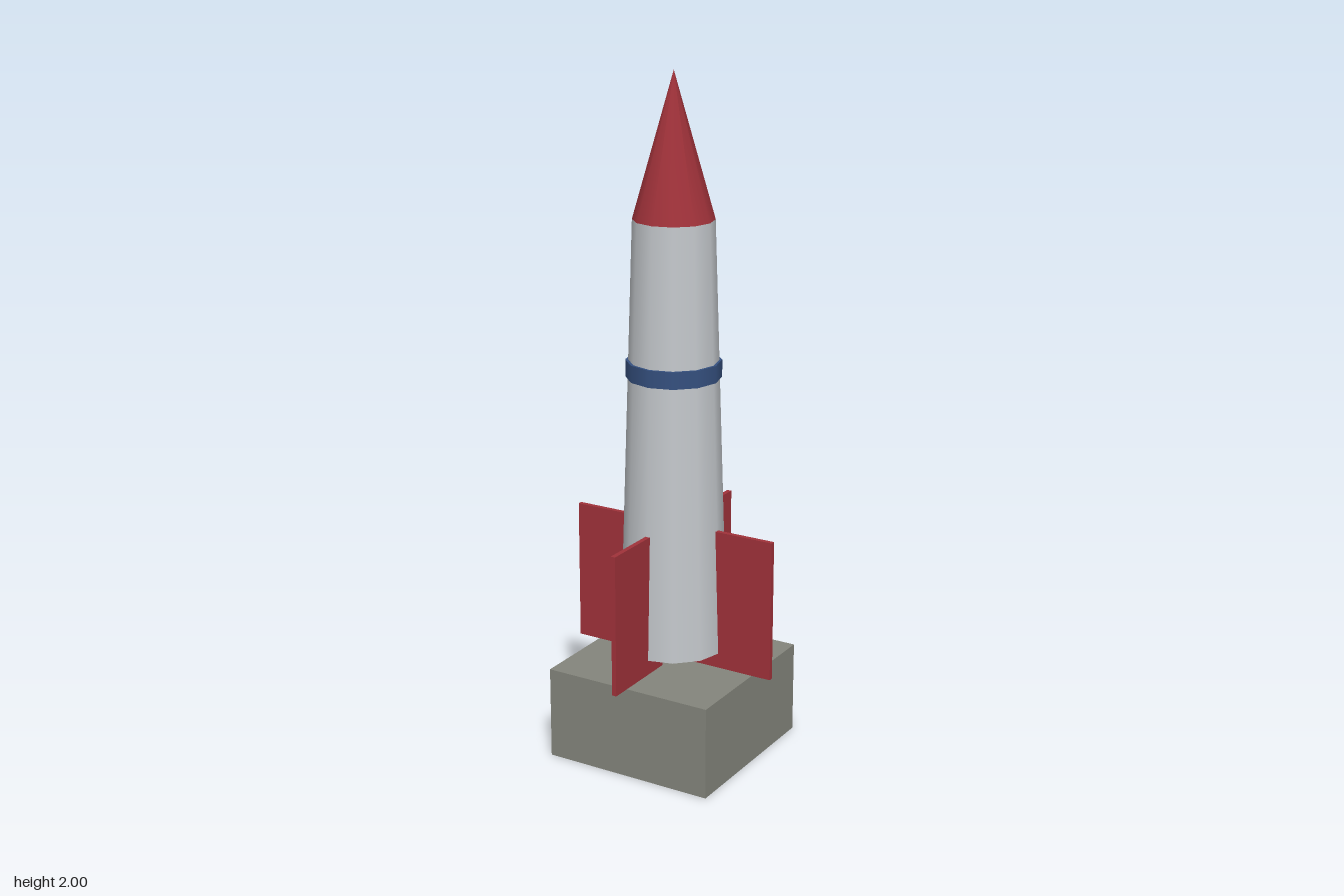
import * as THREE from 'three';

const SIDES = 12;

export function createModel() {
  const mat = (name, color) => {
    const m = new THREE.MeshStandardMaterial({ color });
    m.name = name;
    return m;
  };
  const white = mat('lightGrey', 0xc4c8cc);
  const red = mat('red', 0xa0323a);
  const blue = mat('blue', 0x35507f);
  const stone = mat('padGrey', 0x84857c);

  const group = new THREE.Group();
  group.name = 'rocket';
  const add = (name, geometry, material, x, y, z) => {
    const mesh = new THREE.Mesh(geometry, material);
    mesh.name = name;
    mesh.position.set(x, y, z);
    group.add(mesh);
    return mesh;
  };
  // round part between two heights
  const round = (name, material, rTop, rBottom, y0, y1) =>
    add(name, new THREE.CylinderGeometry(rTop, rBottom, y1 - y0, SIDES), material, 0, (y0 + y1) / 2, 0);

  // launch pad
  add('launchPad', new THREE.BoxGeometry(0.526, 0.275, 0.526), stone, 0, 0.1375, 0);

  // tapered body, band and nose
  round('body', white, 0.116, 0.157, 0.323, 1.59);
  round('band', blue, 0.137, 0.137, 1.138, 1.188);
  add('noseCone', new THREE.ConeGeometry(0.116, 0.41, SIDES), red, 0, 1.795, 0);

  // four fins, reaching into the body and just above the pad
  const finGeometry = new THREE.BoxGeometry(0.25, 0.42, 0.014);
  for (let i = 0; i < 4; i++) {
    const a = (i * Math.PI) / 2;
    add('fin', finGeometry, red, 0.201 * Math.cos(a), 0.489, -0.201 * Math.sin(a)).rotation.y = a;
  }

  return group;
}
